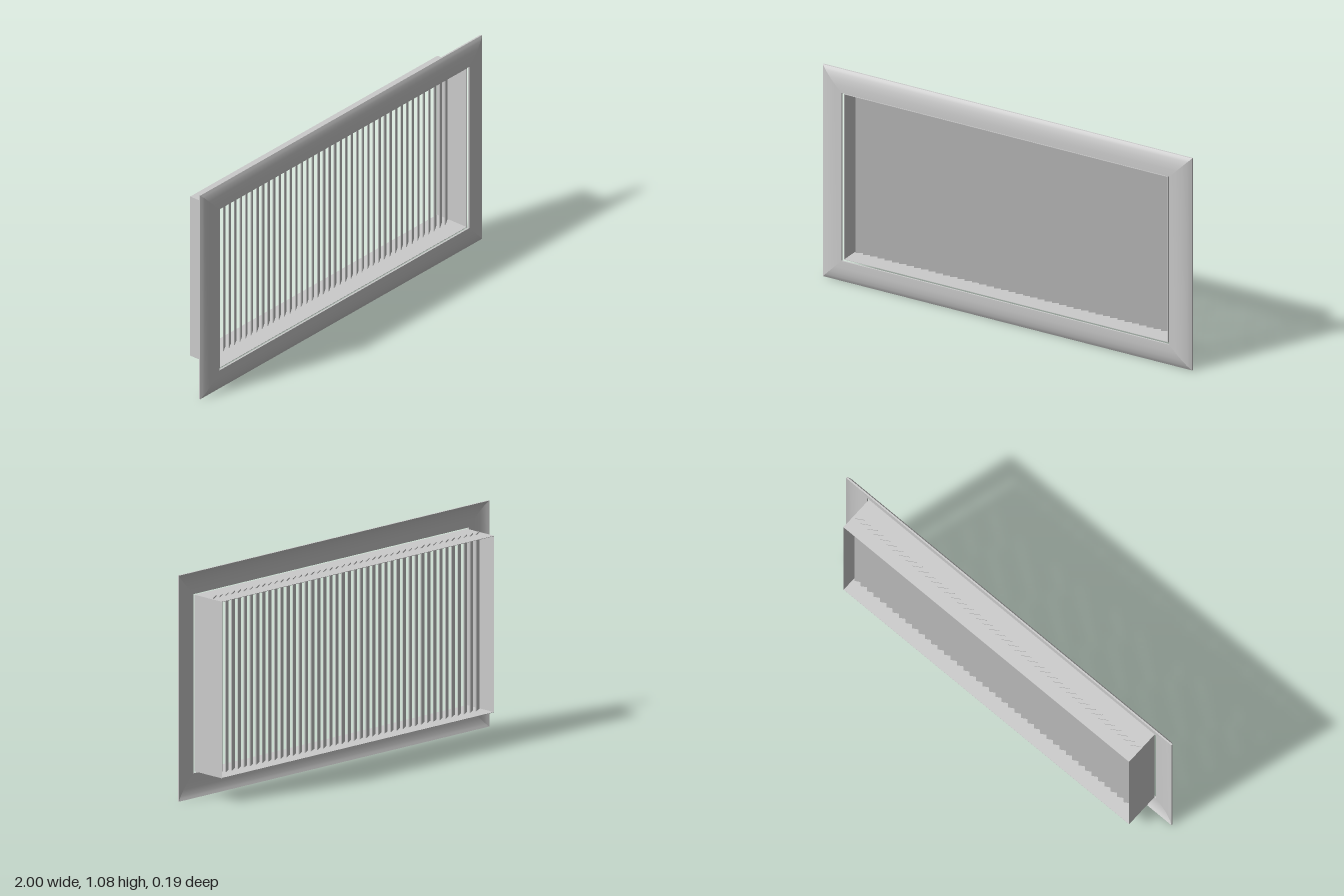
import * as THREE from 'three';
import { mergeGeometries, toCreasedNormals } from 'three/addons/utils/BufferGeometryUtils.js';

const HEIGHT = 1.08;
const MID = HEIGHT / 2;

// Sweeps a closed [inset, z] profile round a rectangle, with sharp mitred corners
function mitredFrame(halfW, halfH, profile) {
  const corners = [[-1, -1], [1, -1], [1, 1], [-1, 1]];
  const at = ([sx, sy], [inset, z]) => [sx * (halfW - inset), MID + sy * (halfH - inset), z];
  const sides = corners.map((c, i) => {
    const next = corners[(i + 1) % 4];
    const pos = [];
    profile.forEach((p, j) => {
      const q = profile[(j + 1) % profile.length];
      const [A, B, C, D] = [at(c, p), at(next, p), at(next, q), at(c, q)];
      pos.push(...A, ...B, ...C, ...A, ...C, ...D);
    });
    const g = new THREE.BufferGeometry();
    g.setAttribute('position', new THREE.Float32BufferAttribute(pos, 3));
    return toCreasedNormals(g, 0.5);
  });
  return mergeGeometries(sides);
}

export function createModel() {
  const group = new THREE.Group();
  const material = new THREE.MeshStandardMaterial({ color: 0xcccccc });
  const add = (name, geometry, parent = group) => {
    const mesh = new THREE.Mesh(geometry, material);
    mesh.name = name;
    parent.add(mesh);
    return mesh;
  };

  // Face frame: thin sheet, curved down at its outer edge and hollow behind
  const sheet = 0.008;
  const front = [[0, 0.074], [0.01, 0.0795], [0.02, 0.084], [0.045, 0.0905], [0.075, 0.094], [0.112, 0.094]];
  const back = front.map(([inset, z]) => [inset, z - sheet]).reverse();
  add('faceFrame', mitredFrame(1, MID, [...front, ...back]));

  // Sleeve: open box of thin walls behind the frame
  const sleeve = new THREE.Group();
  sleeve.name = 'sleeve';
  group.add(sleeve);
  const wall = 0.002, halfW = 0.878, halfH = 0.422, zBack = -0.092, zFront = 0.088;
  const depth = zFront - zBack, zMid = (zFront + zBack) / 2;
  for (const s of [-1, 1]) {
    add(s > 0 ? 'leftWall' : 'rightWall', new THREE.BoxGeometry(wall, halfH * 2, depth), sleeve)
      .position.set(s * (halfW - wall / 2), MID + 0.001, zMid);
    add(s > 0 ? 'topWall' : 'bottomWall', new THREE.BoxGeometry(halfW * 2, wall, depth), sleeve)
      .position.set(0, MID + 0.001 + s * (halfH - wall / 2), zMid);
  }

  // Blades: angled upright slats whose ends poke through the sleeve
  const blades = new THREE.Group();
  blades.name = 'blades';
  group.add(blades);
  const count = 44, pitch = 0.0394;
  const bladeGeometry = new THREE.BoxGeometry(0.05, 0.856, 0.004);
  for (let i = 0; i < count; i++) {
    const blade = add('blade', bladeGeometry, blades);
    blade.position.set((i - (count - 1) / 2) * pitch, MID + 0.001, -0.013);
    blade.rotation.y = 0.54;
  }
  return group;
}
